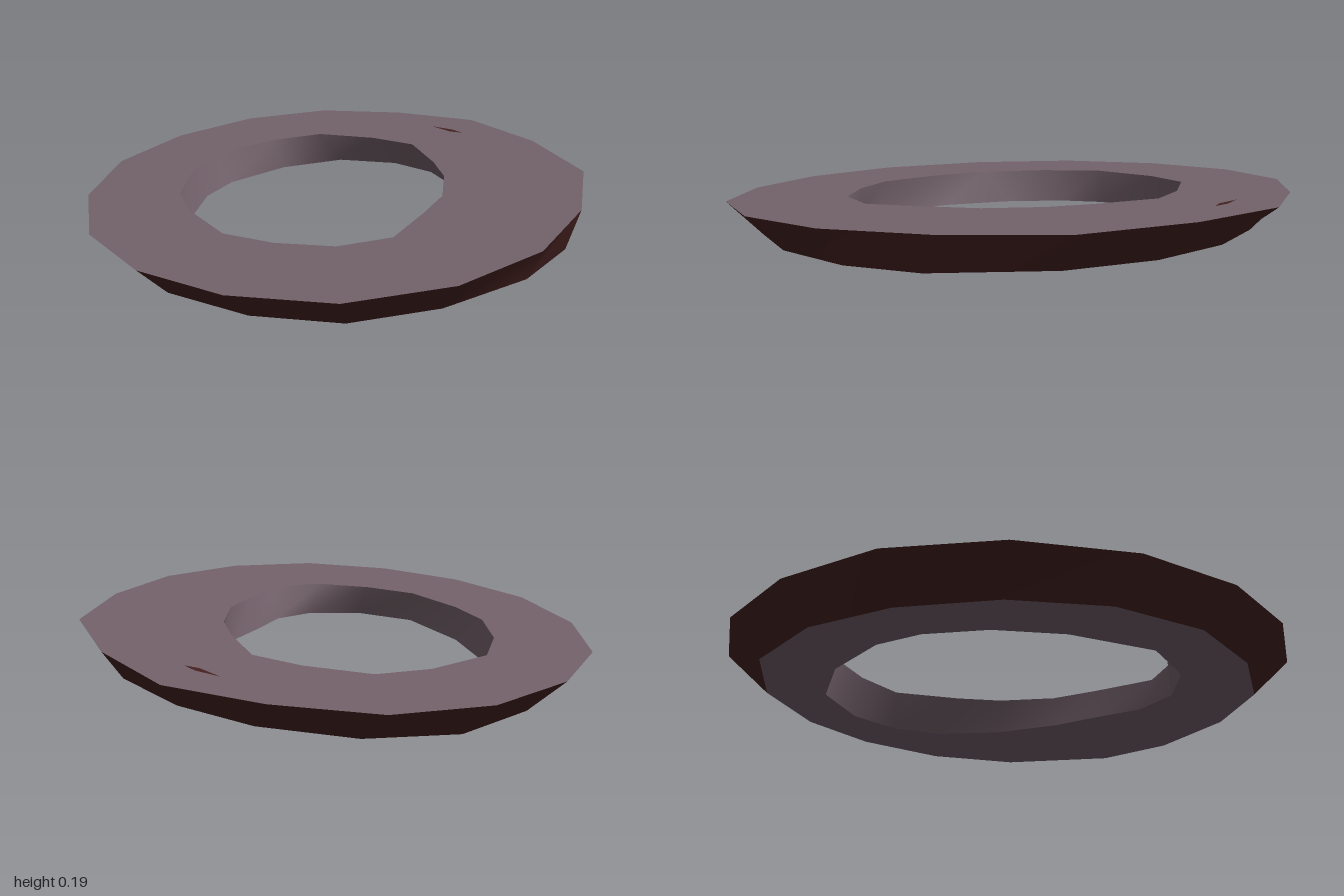
import * as THREE from 'three';
import { mergeVertices } from 'three/addons/utils/BufferGeometryUtils.js';

// Outlines as [x, z], running clockwise seen from above
const TOP_OUTER = [[-0.12, -1], [0.22, -1], [0.52, -0.83], [0.77, -0.59], [0.88, -0.21], [0.89, 0.21], [0.7, 0.57], [0.43, 0.85],
  [0.1, 1], [-0.25, 1], [-0.55, 0.83], [-0.77, 0.56], [-0.89, 0.2], [-0.87, -0.21], [-0.72, -0.58], [-0.45, -0.85]];
const BOTTOM_OUTER = [[-0.07, -0.89], [0.24, -0.85], [0.51, -0.67], [0.69, -0.43], [0.8, -0.12], [0.8, 0.21], [0.64, 0.59], [0.42, 0.77],
  [0.1, 0.88], [-0.2, 0.88], [-0.46, 0.73], [-0.67, 0.48], [-0.76, 0.15], [-0.72, -0.19], [-0.58, -0.51], [-0.37, -0.75]];
const TOP_INNER = [[-0.09, -0.63], [0.11, -0.64], [0.3, -0.5], [0.42, -0.35], [0.42, -0.1], [0.4, 0.07], [0.32, 0.27], [0.2, 0.41],
  [0.04, 0.58], [-0.15, 0.59], [-0.33, 0.49], [-0.47, 0.35], [-0.54, 0.1], [-0.55, -0.1], [-0.47, -0.34], [-0.34, -0.53]];
const BOTTOM_INNER = [[-0.05, -0.63], [0.2, -0.64], [0.4, -0.51], [0.5, -0.34], [0.52, -0.16], [0.44, 0.07], [0.3, 0.27], [0.18, 0.39],
  [0.05, 0.53], [-0.11, 0.59], [-0.31, 0.55], [-0.48, 0.39], [-0.53, 0.07], [-0.5, -0.18], [-0.41, -0.39], [-0.29, -0.52]];

// Lay an outline on a gently tilted plane
const lay = (outline, height) => outline.map(([x, z]) => [x, height + 0.041 * x + 0.004 * z, z]);

// Closed band of quads between two loops
function band(a, b, smooth) {
  const positions = [];
  a.forEach((p, i) => {
    const j = (i + 1) % a.length;
    positions.push(...p, ...a[j], ...b[j], ...p, ...b[j], ...b[i]);
  });
  let geometry = new THREE.BufferGeometry();
  geometry.setAttribute('position', new THREE.Float32BufferAttribute(positions, 3));
  if (smooth) geometry = mergeVertices(geometry);
  geometry.computeVertexNormals();
  return geometry;
}

export function createModel() {
  const group = new THREE.Group();
  group.name = 'tiltedRing';
  const mauve = new THREE.MeshStandardMaterial({ color: 0x74626b });
  mauve.name = 'mauve';
  const brown = new THREE.MeshStandardMaterial({ color: 0x452120 });
  brown.name = 'dark red brown';

  const add = (name, geometry, material) => {
    const mesh = new THREE.Mesh(geometry, material);
    mesh.name = name;
    group.add(mesh);
  };

  const topOuter = lay(TOP_OUTER, 0.157);
  const topInner = lay(TOP_INNER, 0.157);
  const bottomOuter = lay(BOTTOM_OUTER, 0.033);
  const bottomInner = lay(BOTTOM_INNER, 0.033);

  add('topFace', band(topInner, topOuter, false), mauve);
  add('underside', band(bottomOuter, bottomInner, false), mauve);
  add('innerWall', band(bottomInner, topInner, true), mauve);
  add('outerWall', band(topOuter, bottomOuter, true), brown);

  // Small chip showing the darker colour on the top face
  const [a, b, c, d] = lay([[0.58, -0.56], [0.64, -0.48], [0.66, -0.42], [0.62, -0.46]], 0.159);
  const chip = new THREE.BufferGeometry();
  chip.setAttribute('position', new THREE.Float32BufferAttribute([a, d, b, b, d, c].flat(), 3));
  chip.computeVertexNormals();
  add('topChip', chip, brown);

  return group;
}
